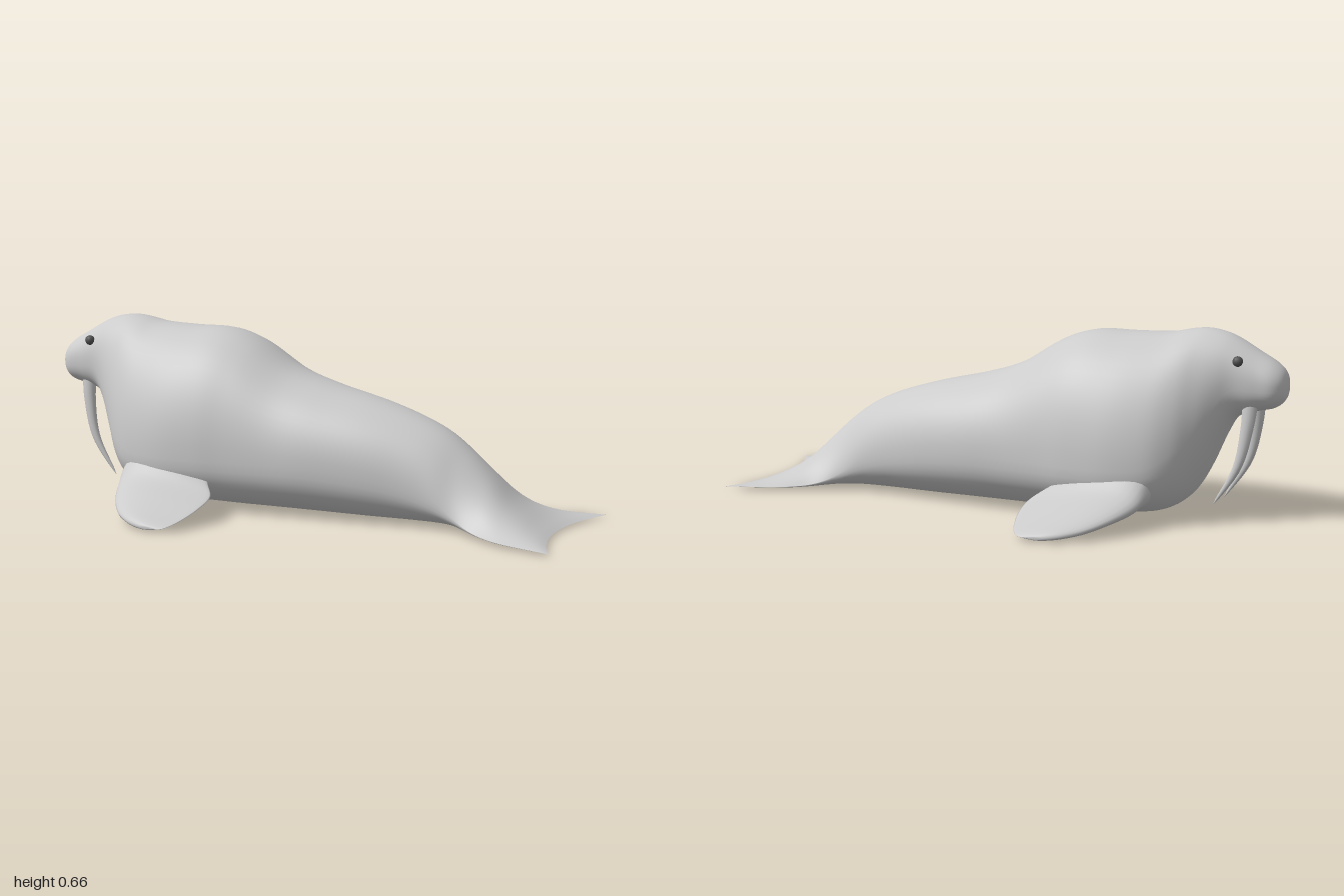
import * as THREE from 'three';

const grey = new THREE.MeshStandardMaterial({ color: 0xcccccc });
const dark = new THREE.MeshStandardMaterial({ color: 0x555555 });

// Skin a surface over `rows` rings of `cols` points; point(t, angle) gives [x, y, z].
function loft(rows, cols, point, flip) {
  const pos = [], index = [];
  for (let i = 0; i <= rows; i++)
    for (let j = 0; j < cols; j++) pos.push(...point(i / rows, (j / cols) * Math.PI * 2));
  for (let i = 0; i < rows; i++)
    for (let j = 0; j < cols; j++) {
      const k = (j + 1) % cols;
      const a = i * cols + j, b = i * cols + k, c = a + cols, d = b + cols;
      if (flip) index.push(a, b, c, b, d, c);
      else index.push(a, c, b, b, c, d);
    }
  const g = new THREE.BufferGeometry();
  g.setAttribute('position', new THREE.Float32BufferAttribute(pos, 3));
  g.setIndex(index);
  g.computeVertexNormals();
  return g;
}

// Smooth interpolation through a table of sections, t from 0 to 1.
function sampler(table) {
  const n = table.length, size = table[0].length;
  const curve = new THREE.CubicInterpolant(table.map((_, i) => i), table.flat(), size, new Float32Array(size));
  return t => curve.evaluate(t * (n - 1));
}

const spow = (v, e) => Math.sign(v) * Math.pow(Math.abs(v), e);

// Body sections, snout to tail: along, bottom, widest height, top, half width, top exponent
const body = sampler([
  [-1.07, 0.48, 0.48, 0.48, 0, 0.9],
  [-1.063, 0.435, 0.48, 0.525, 0.05, 0.9],
  [-1.03, 0.405, 0.48, 0.56, 0.083, 0.9],
  [-0.97, 0.39, 0.485, 0.595, 0.097, 0.9],
  [-0.90, 0.365, 0.49, 0.635, 0.112, 0.9],
  [-0.85, 0.285, 0.45, 0.655, 0.14, 0.95],
  [-0.79, 0.16, 0.35, 0.665, 0.19, 1],
  [-0.73, 0.07, 0.26, 0.66, 0.245, 1],
  [-0.65, 0.025, 0.21, 0.645, 0.29, 1],
  [-0.52, 0.012, 0.2, 0.64, 0.315, 0.95],
  [-0.38, 0.01, 0.2, 0.638, 0.308, 0.9],
  [-0.26, 0.008, 0.2, 0.6, 0.288, 0.9],
  [-0.11, 0.008, 0.2, 0.51, 0.268, 0.9],
  [0.04, 0.008, 0.2, 0.46, 0.252, 0.9],
  [0.22, 0.008, 0.18, 0.418, 0.222, 0.9],
  [0.37, 0.01, 0.15, 0.373, 0.192, 0.95],
  [0.48, 0.012, 0.11, 0.325, 0.177, 1.1],
  [0.57, 0.014, 0.06, 0.262, 0.178, 1.6],
  [0.65, 0.014, 0.03, 0.19, 0.215, 2.4],
  [0.73, 0.012, 0.022, 0.11, 0.265, 2.5],
  [0.81, 0.012, 0.018, 0.055, 0.288, 2],
  [0.885, 0.015, 0.015, 0.015, 0.305, 1],
]);

function bodyPoint(t, a) {
  const [u, bottom, mid, top, w, e] = body(t);
  const s = Math.sin(a), z = w * spow(Math.cos(a), 0.95);
  const y = s >= 0 ? mid + (top - mid) * Math.pow(s, e) : mid - (mid - bottom) * Math.pow(-s, 0.8);
  // the trailing edge of the tail is swept back toward its tips
  const sweep = THREE.MathUtils.clamp((u - 0.6) / 0.28, 0, 1) * 0.85 * z * z;
  return [u + sweep, Math.max(y, 0.004), z];
}

// Flipper sections, shoulder to tip: out, leading edge, trailing edge, height, half thickness
const flipper = sampler([
  [0.18, -0.68, -0.36, 0.15, 0.12],
  [0.28, -0.67, -0.32, 0.125, 0.085],
  [0.35, -0.65, -0.27, 0.09, 0.052],
  [0.44, -0.605, -0.268, 0.065, 0.035],
  [0.52, -0.545, -0.285, 0.043, 0.025],
  [0.57, -0.48, -0.305, 0.03, 0.018],
  [0.593, -0.42, -0.33, 0.022, 0.01],
  [0.597, -0.375, -0.375, 0.02, 0],
]);

function flipperPoint(t, a, side) {
  const [v, lead, trail, y, thick] = flipper(t);
  const c = Math.cos(a);
  // thick rounded leading edge, thin trailing edge
  const h = thick * Math.sin(a) * (0.7 - 0.45 * c);
  return [(lead + trail) / 2 + c * (trail - lead) / 2, Math.max(y + h, 0.002), side * v];
}

// Tusk centre line, curving down and back
const tusk = new THREE.CatmullRomCurve3([
  new THREE.Vector3(-0.955, 0.44, 0.05),
  new THREE.Vector3(-0.948, 0.34, 0.062),
  new THREE.Vector3(-0.918, 0.2, 0.07),
  new THREE.Vector3(-0.835, 0.062, 0.068),
]);

function tuskPoint(t, a, side) {
  const p = tusk.getPoint(t), r = 0.028 * Math.pow(1 - t, 0.6);
  return [p.x + r * Math.cos(a), p.y + 0.25 * r * Math.cos(a), side * p.z + r * 0.85 * Math.sin(a)];
}

export function createModel() {
  const model = new THREE.Group();
  model.name = 'walrus';
  const add = (name, geometry, material = grey) => {
    const m = new THREE.Mesh(geometry, material);
    m.name = name;
    model.add(m);
    return m;
  };

  add('bodyAndTail', loft(105, 56, bodyPoint));
  for (const side of [1, -1]) {
    const label = side > 0 ? 'Front' : 'Back';
    add('flipper' + label, loft(36, 28, (t, a) => flipperPoint(t, a, side), side > 0));
    add('tusk' + label, loft(20, 14, (t, a) => tuskPoint(t, a, side), true));
    const eye = add('eye' + label, new THREE.SphereGeometry(0.018, 14, 10), dark);
    eye.position.set(-0.92, 0.57, side * 0.097);
  }

  // the animal lies diagonally
  model.rotation.y = -0.376;
  model.position.z = 0.03;
  const root = new THREE.Group();
  root.name = 'model';
  root.add(model);
  return root;
}
